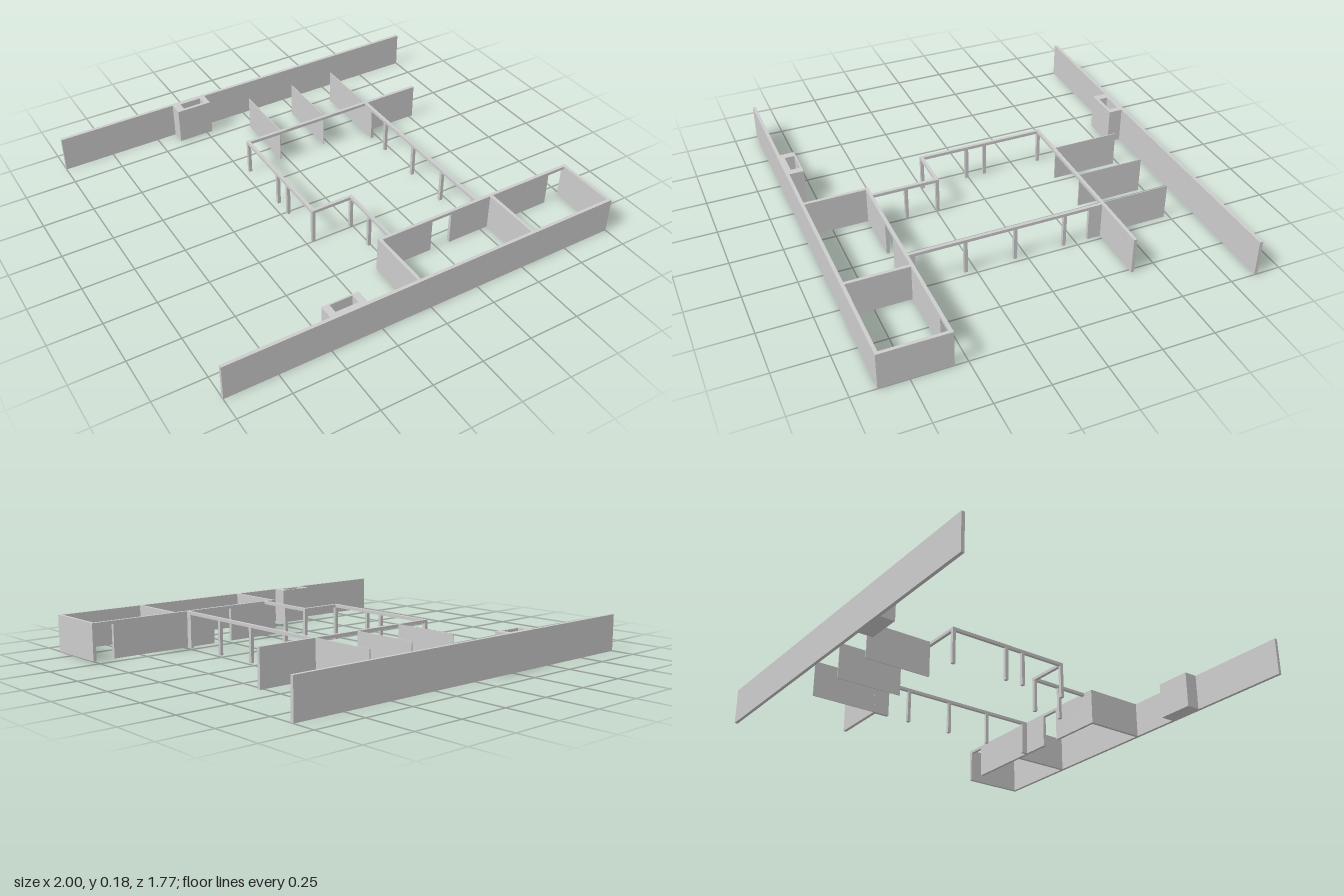
import * as THREE from 'three';

const H = 0.18;      // wall height
const T = 0.016;     // wall thickness
const BEAM = 0.165;  // underside of beams and door heads

export function createModel() {
  const group = new THREE.Group();
  const mat = new THREE.MeshStandardMaterial({ color: 0xcccccc, flatShading: true });

  // box given by its limits
  const box = (name, x0, x1, z0, z1, y0 = 0, y1 = H) => {
    const mesh = new THREE.Mesh(new THREE.BoxGeometry(x1 - x0, y1 - y0, z1 - z0), mat);
    mesh.position.set((x0 + x1) / 2, (y0 + y1) / 2, (z0 + z1) / 2);
    mesh.name = name;
    group.add(mesh);
  };
  const post = (x, z) => box('post', x - T / 2, x + T / 2, z - T / 2, z + T / 2, 0, BEAM);

  // long party walls
  box('frontWall', -1, 1, 0.869, 0.885);
  box('backWall', -1, 1, -0.885, -0.869);

  // chimney stacks: closed base with an open flue
  const chimney = (x0, z0, hx0, hx1, hz0, hz1) => {
    const x1 = x0 + 0.18, z1 = z0 + 0.07, floor = 0.04;
    const shape = new THREE.Shape([[x0, -z0], [x0, -z1], [x1, -z1], [x1, -z0]].map(p => new THREE.Vector2(...p)));
    shape.holes.push(new THREE.Path([[hx0, -hz0], [hx1, -hz0], [hx1, -hz1], [hx0, -hz1]].map(p => new THREE.Vector2(...p))));
    const flue = new THREE.Mesh(new THREE.ExtrudeGeometry(shape, { depth: H - floor, bevelEnabled: false }), mat);
    flue.rotation.x = -Math.PI / 2;
    flue.position.y = floor;
    flue.name = 'chimneyFlue';
    group.add(flue);
    box('chimneyBase', x0, x1, z0, z1, 0, floor);
  };
  chimney(-0.50, 0.799, -0.465, -0.355, 0.807, 0.853);
  chimney(-0.40, -0.869, -0.36, -0.25, -0.86, -0.815);

  // front rooms: cross walls and inner wall with two doorways
  for (const x of [-0.07, 0.54, 0.984]) box('crossWall', x, x + T, 0.576, 0.869);
  box('innerWall', -0.07, 0.215, 0.56, 0.576);
  box('innerWall', 0.32, 0.89, 0.56, 0.576);
  box('innerWallEnd', 0.984, 1, 0.56, 0.576);
  box('doorHead', 0.215, 0.32, 0.56, 0.576, BEAM);
  box('doorHead', 0.89, 0.984, 0.56, 0.576, BEAM);

  // ring beam round the middle hall
  box('rightBeam', 0.464, 0.48, -0.31, 0.53, BEAM);
  box('backBeam', -0.22, 0.464, -0.392, -0.376, BEAM);
  box('leftBeam', -0.22, -0.204, -0.376, 0.25, BEAM);
  box('stepBeam', -0.204, 0, 0.234, 0.25, BEAM);
  box('stepSideBeam', -0.016, 0, 0.25, 0.56, BEAM);

  // wall stubs at the ends of the right beam, and the wall beyond it
  box('wallStub', 0.464, 0.48, -0.376, -0.31);
  box('wallStub', 0.464, 0.48, 0.53, 0.56);
  box('rearWall', 0.464, 0.77, -0.392, -0.376);

  // posts
  for (const z of [-0.19, 0.055, 0.295]) post(0.472, z);
  for (const z of [-0.384, -0.088, 0.008, 0.242]) post(-0.212, z);
  for (const z of [0.242, 0.398]) post(-0.008, z);

  // thin partitions at the back
  for (const x of [-0.03, 0.225, 0.467]) box('partition', x - 0.002, x + 0.002, -0.725, -0.392);

  return group;
}
